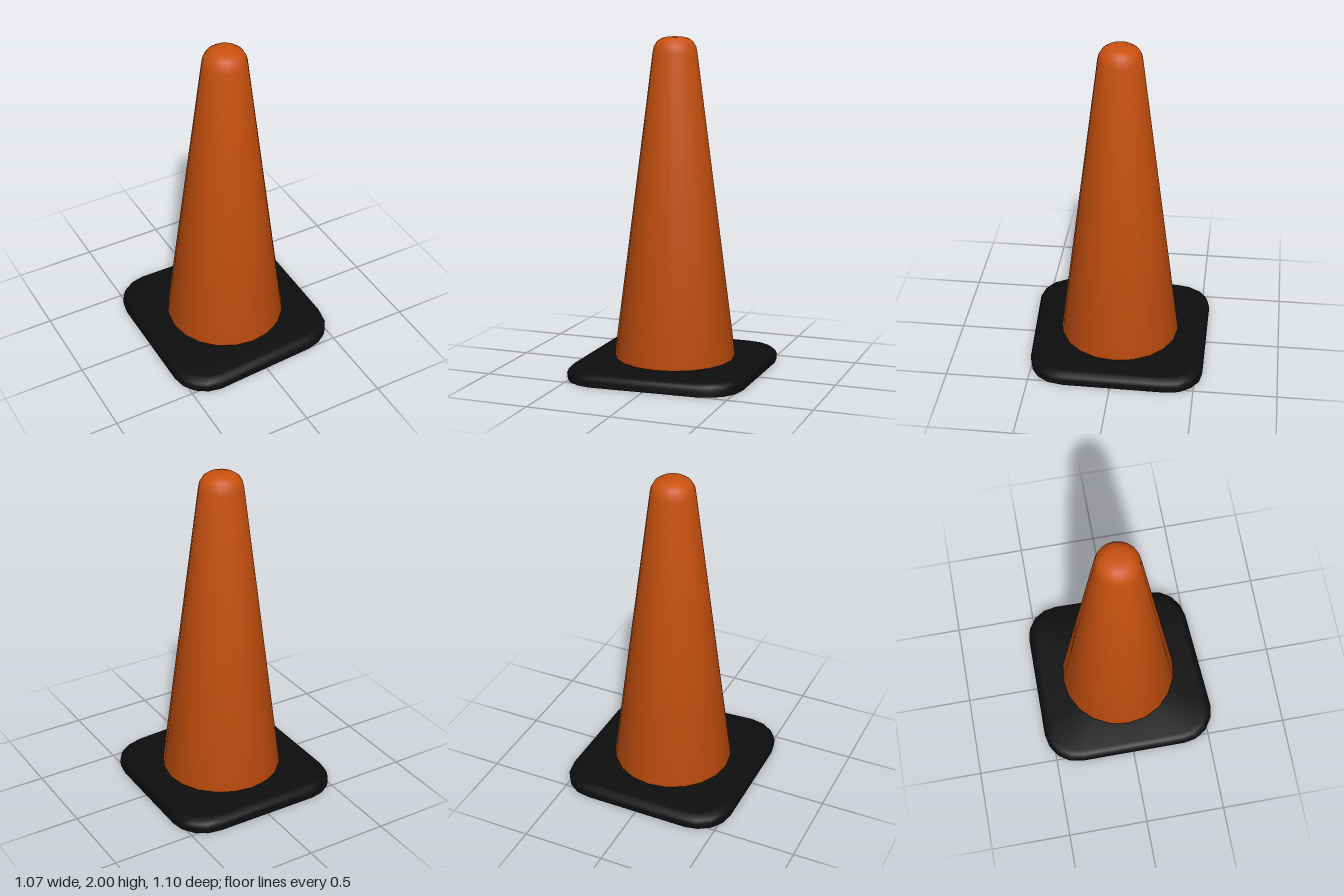
import * as THREE from 'three';
import { toCreasedNormals } from 'three/addons/utils/BufferGeometryUtils.js';

// Solid lofted from one outline, scaled and raised ring by ring
function loft(outline, rings) {
  const n = outline.length;
  const positions = [];
  const index = [];
  for (const [scale, y] of rings) {
    for (const [x, z] of outline) positions.push(x * scale, y, z * scale);
  }
  for (let r = 0; r < rings.length - 1; r++) {
    for (let i = 0; i < n; i++) {
      const a = r * n + i;
      const b = r * n + (i + 1) % n;
      index.push(a, a + n, b, b, a + n, b + n);
    }
  }
  const geometry = new THREE.BufferGeometry();
  geometry.setAttribute('position', new THREE.Float32BufferAttribute(positions, 3));
  geometry.setIndex(index);
  return geometry;
}

export function createModel() {
  const group = new THREE.Group();

  // Rubber foot: rounded square with one slightly drawn-in front corner (x, z)
  const outline = [
    [-0.33, -0.55], [0.33, -0.547], [0.41, -0.532], [0.478, -0.485], [0.522, -0.418],
    [0.536, -0.337], [0.53, 0.287], [0.513, 0.375], [0.466, 0.445], [0.4, 0.488],
    [0.32, 0.51], [-0.33, 0.55], [-0.408, 0.533], [-0.478, 0.487], [-0.522, 0.418],
    [-0.537, 0.34], [-0.537, -0.34], [-0.522, -0.418], [-0.478, -0.487], [-0.408, -0.533],
  ];
  const baseRings = [[0, 0], [0.995, 0], [1, 0.035], [0.985, 0.057], [0.955, 0.071], [0.91, 0.077], [0, 0.077]];
  const base = new THREE.Mesh(
    toCreasedNormals(loft(outline, baseRings), 0.8),
    new THREE.MeshStandardMaterial({ color: 0x0d0d0d })
  );
  base.name = 'base';
  group.add(base);

  // Tapered body with a domed tip, floating a hair above the foot
  const profile = [
    [0, 0.083], [0.36, 0.083], [0.364, 0.092], [0.131, 1.91], [0.124, 1.943],
    [0.106, 1.973], [0.078, 1.992], [0.045, 2], [0, 2],
  ].map(([r, y]) => new THREE.Vector2(r, y));
  const cone = new THREE.Mesh(
    toCreasedNormals(new THREE.LatheGeometry(profile, 20), 0.8),
    new THREE.MeshStandardMaterial({ color: 0xc9510f })
  );
  cone.name = 'cone';
  cone.position.z = -0.007;
  group.add(cone);

  return group;
}
